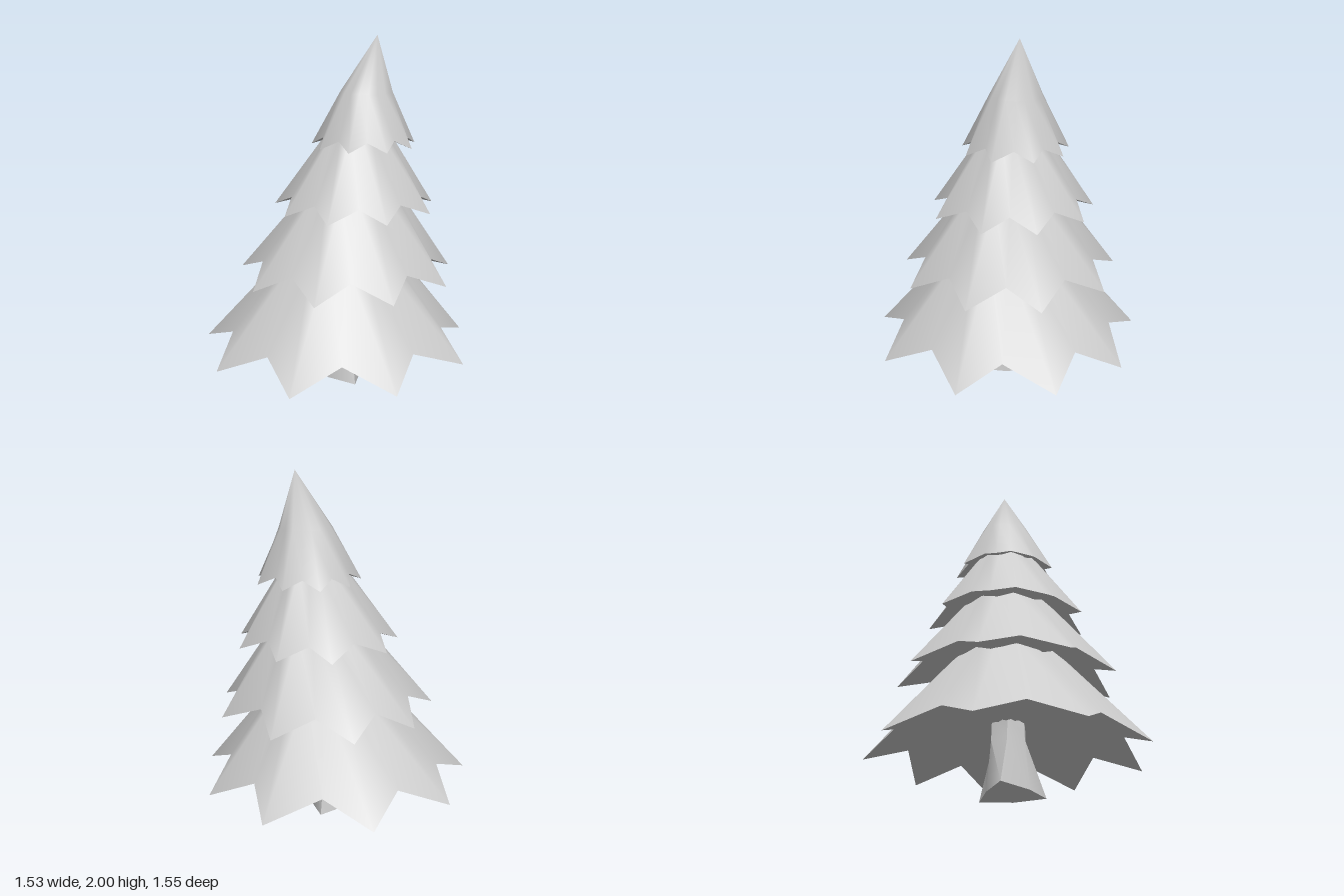
import * as THREE from 'three';
import { toCreasedNormals } from 'three/addons/utils/BufferGeometryUtils.js';

const POINTS = 9; // spikes per branch tier

// Skin of equal-length rings from bottom to top, optionally closed by an apex
function loft(rings, apex) {
  const n = rings[0].length, pos = rings.flat(2), index = [];
  for (let r = 0; r < rings.length - 1; r++) {
    for (let j = 0; j < n; j++) {
      const a = r * n + j, b = r * n + (j + 1) % n;
      index.push(a, a + n, b + n, a, b + n, b);
    }
  }
  if (apex) {
    const top = (rings.length - 1) * n;
    pos.push(...apex);
    for (let j = 0; j < n; j++) index.push(top + j, rings.length * n, top + (j + 1) % n);
  }
  return finish(pos, index);
}

// Downward-facing fan from a centre to a ring
function underside(ring, centre) {
  const n = ring.length, index = [];
  for (let j = 0; j < n; j++) index.push(n, j, (j + 1) % n);
  return finish([...ring.flat(), ...centre], index);
}

function finish(pos, index) {
  const geo = new THREE.BufferGeometry();
  geo.setAttribute('position', new THREE.Float32BufferAttribute(pos, 3));
  geo.setIndex(index);
  geo.computeVertexNormals();
  return geo;
}

// Ring alternating between tips and notches; twist turns each tip by some degrees
function starRing(x, [tipR, tipY], [notchR, notchY], twist) {
  return Array.from({ length: POINTS * 2 }, (_, j) => {
    const isTip = j % 2 === 0;
    const a = THREE.MathUtils.degToRad(j * 20 + (isTip ? twist[j / 2] : -0.5));
    const r = isTip ? tipR : notchR;
    return [x + r * Math.cos(a), isTip ? tipY : notchY, r * Math.sin(a)];
  });
}

// Plain circle with as many corners as a star ring
function circleRing(x, r, y) {
  return starRing(x, [r, y], [r, y], Array(POINTS).fill(0));
}

export function createModel() {
  const tree = new THREE.Group();
  tree.name = 'tree';
  const grey = new THREE.MeshStandardMaterial({ color: 0xcccccc });
  grey.name = 'light grey';

  const add = (parent, name, geo) => {
    const mesh = new THREE.Mesh(geo, grey);
    mesh.name = name;
    parent.add(mesh);
  };

  // Branch tiers, leaning towards +x as they rise; hollow is the height of the underside's centre
  const tiers = [
    { x: -0.025, tip: [0.787, 0.204], notch: [0.617, 0.32], top: [0.01, 0.28, 0.8], hollow: 0.415,
      twist: [-2.2, -2.5, -1.3, 0.2, -0.5, -0.5, -1, -1.6, 2.5] },
    { x: 0.03, tip: [0.625, 0.643], notch: [0.488, 0.735], top: [0.075, 0.25, 1.14], hollow: 0.81,
      twist: [1.8, -0.8, -1, -2, -3, 1, 2.4, -0.8, 0.8] },
    { x: 0.08, tip: [0.463, 1.037], notch: [0.366, 1.105], top: [0.105, 0.165, 1.48], hollow: 1.16,
      twist: [1.2, -2, 1.3, 1.3, -1, -1.6, -2.1, 3.1, 0.7] },
    { x: 0.135, tip: [0.299, 1.392], notch: [0.236, 1.44], top: [0.147, 0.147, 1.69], hollow: 1.48,
      twist: [-1, 2.3, -0.6, 0, -1.8, -2.5, 3, -0.4, -0.9], apex: [0.207, 2, 0] },
  ];
  tiers.forEach((t, i) => {
    const tier = new THREE.Group();
    tier.name = `branchTier${i + 1}`;
    const rim = starRing(t.x, t.tip, t.notch, t.twist);
    add(tier, 'foliage', loft([rim, circleRing(...t.top)], t.apex));
    add(tier, 'foliageUnderside', underside(rim, [t.x, t.hollow, 0]));
    tree.add(tier);
  });

  // Trunk: flared three-cornered foot blending into a straight hexagonal neck
  const foot = [
    [0.125, 0, -0.145], [0.11, 0, 0.04], [0.04, 0.01, 0.21],
    [-0.1, 0.02, 0.1], [-0.225, 0.03, -0.07], [-0.05, 0.015, -0.125],
  ];
  const neck = (r, y) => foot.map((_, j) => {
    const a = -0.85 + j * Math.PI / 3;
    return [r * Math.cos(a), y, r * Math.sin(a)];
  });
  const trunk = new THREE.Group();
  trunk.name = 'trunk';
  add(trunk, 'trunkSides', toCreasedNormals(loft([foot, neck(0.105, 0.3), neck(0.1, 0.44)]), 0.8));
  add(trunk, 'trunkBase', underside(foot, [-0.02, 0.013, 0]));
  tree.add(trunk);

  return tree;
}
